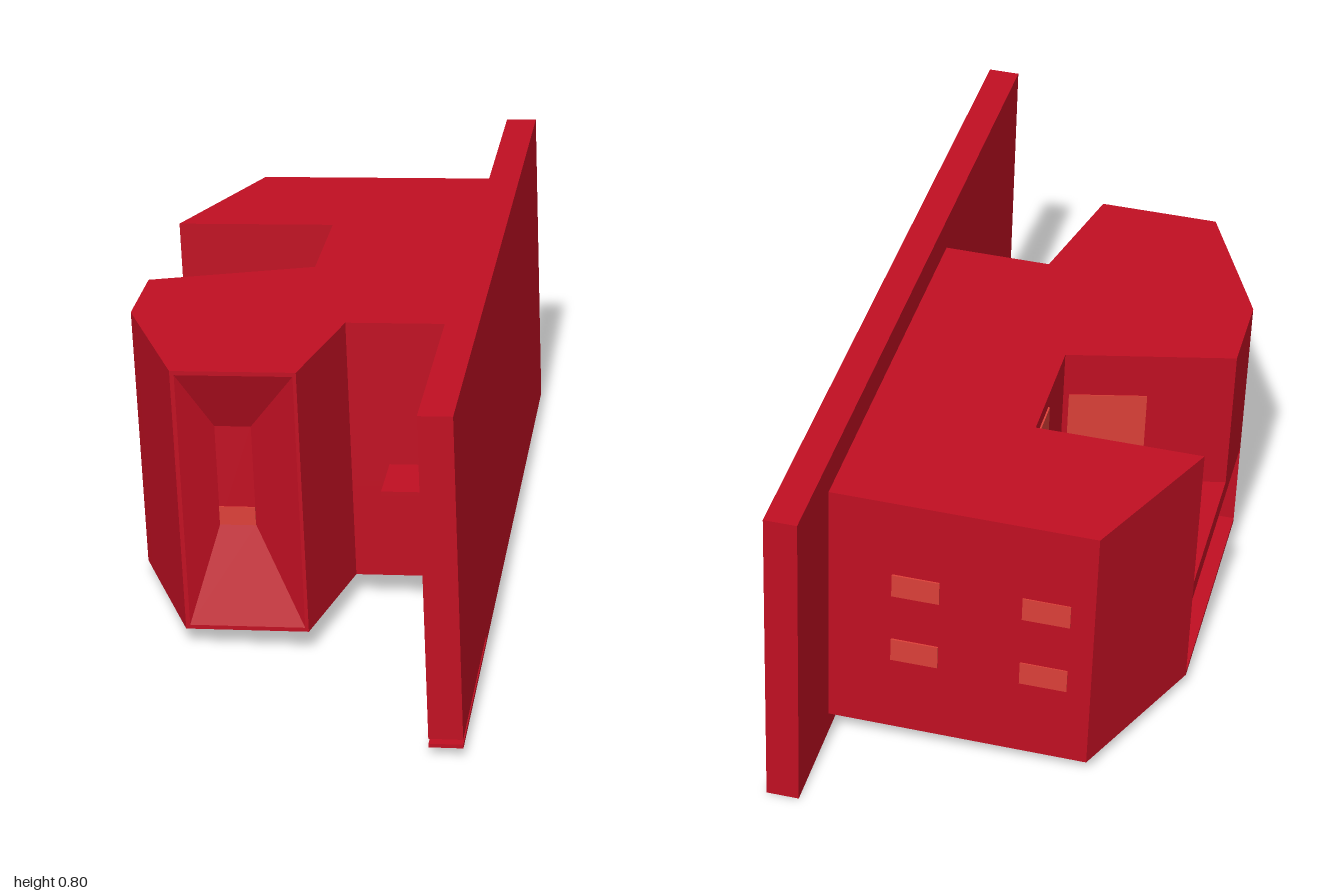
import * as THREE from 'three';

const red = new THREE.MeshStandardMaterial({ color: 0xc00f22 });
const paneRed = new THREE.MeshStandardMaterial({ color: 0xdc4038 });

export function createModel() {
  const model = new THREE.Group();
  const building = new THREE.Group();
  building.name = 'building';
  model.add(building);

  const add = (name, geometry, material = red) => {
    const mesh = new THREE.Mesh(geometry, material);
    mesh.name = name;
    building.add(mesh);
    return mesh;
  };

  // Box given by its lower and upper limits on each axis
  const box = (name, x0, x1, y0, y1, z0, z1, material) => {
    const mesh = add(name, new THREE.BoxGeometry(x1 - x0, y1 - y0, z1 - z0), material);
    mesh.position.set((x0 + x1) / 2, (y0 + y1) / 2, (z0 + z1) / 2);
    return mesh;
  };

  // Floor plan of (x, z) corners raised from y0 to y1
  const storey = (name, plan, y0, y1) => {
    const shape = new THREE.Shape(plan.map(([x, z]) => new THREE.Vector2(x, -z)));
    const geometry = new THREE.ExtrudeGeometry(shape, { depth: y1 - y0, bevelEnabled: false });
    geometry.rotateX(-Math.PI / 2).translate(0, y0, 0);
    add(name, geometry);
  };

  // Long side wall with a thin slit near its front foot
  box('sideWall', 0.342, 0.418, -0.384, 0.376, -1, 1);
  box('wallFoot', 0.342, 0.418, -0.405, -0.396, -1, 1);
  box('wallFootJoint', 0.342, 0.418, -0.396, -0.384, -1, 0.5);

  // Main body, stacked in storeys; the notch and the low recess open to the side
  const low = -0.35, high = 0.293, terrace = -0.07, wingZ = 0.265;
  const back = [[0.344, -0.762], [-0.27, -0.765], [-0.43, -0.4]];
  const front = [[-0.43, 0.215], [-0.408, wingZ], [0.344, wingZ]];
  const notch = [[-0.04, -0.4], [-0.04, -0.1], [-0.43, 0]];
  const recess = [[-0.3, -0.4], [-0.3, 0.215]];
  storey('baseFloor', [...back, ...front], low, -0.34);
  storey('lowerStorey', [...back, ...recess, ...front], -0.34, -0.12);
  storey('terraceSlab', [...back, ...front], -0.12, terrace);
  storey('upperStorey', [...back, ...notch, ...front], terrace, high);

  // Tapering front wing with a funnel window: loops run forward, then inward
  const loop = (x0, x1, y0, y1, z) => [[x0, y0, z], [x1, y0, z], [x1, y1, z], [x0, y1, z]];
  const loops = [
    loop(-0.408, 0.085, low, high, wingZ),
    loop(-0.27, 0.017, low, high, 0.573),
    loop(-0.26, 0.009, -0.34, 0.283, 0.573),
    loop(-0.188, -0.104, -0.112, 0.133, 0.508),
  ];
  const index = [];
  for (let j = 0; j < 3; j++) {
    for (let i = 0; i < 4; i++) {
      const a = j * 4 + i, b = j * 4 + (i + 1) % 4;
      index.push(a, b, b + 4, a, b + 4, a + 4);
    }
  }
  index.push(12, 13, 14, 12, 14, 15);
  let wing = new THREE.BufferGeometry();
  wing.setAttribute('position', new THREE.Float32BufferAttribute(loops.flat(2), 3));
  wing.setIndex(index);
  wing = wing.toNonIndexed();
  wing.computeVertexNormals();
  add('frontWing', wing);
  box('funnelWindow', -0.188, -0.104, -0.112, -0.067, 0.506, 0.511, paneRed);

  // Small balcony in the front corner
  box('balconySlab', 0.175, 0.342, -0.073, -0.062, wingZ, 0.42);
  box('balconyPost', 0.3, 0.342, -0.062, 0.018, 0.28, 0.37);

  // Four windows on the back face
  for (const x of [-0.16, 0.14]) {
    for (const y of [-0.12, 0.065]) {
      box('backWindow', x - 0.055, x + 0.055, y - 0.03, y + 0.03, -0.767, -0.76, paneRed);
    }
  }

  // Openings around the terrace: skylight, side window and door
  box('skylight', -0.212, -0.105, terrace - 0.003, terrace + 0.002, -0.33, -0.17, paneRed);
  box('terraceWindow', -0.045, -0.038, 0.1, 0.26, -0.37, -0.27, paneRed)
    .position.x = -0.0405;
  const door = box('terraceDoor', -0.235, -0.05, terrace, 0.18, -0.079, -0.075, paneRed);
  door.rotation.y = Math.atan2(0.1, 0.39);
  door.position.z = -0.1 + (0.1425 - 0.04) * 0.1 / 0.39;

  // Panes in the underside
  const floorPanes = [
    [-0.18, 0.04], [-0.11, -0.35], [-0.2, -0.44], [-0.19, -0.6],
    [0.11, -0.35], [0.1, -0.52], [0.11, -0.61], [0.23, 0.05],
  ];
  for (const [x, z] of floorPanes) {
    box('floorPane', x - 0.04, x + 0.04, low - 0.002, low + 0.003, z - 0.035, z + 0.035, paneRed);
  }

  // Slight lean of the whole building, then centre it on the ground
  building.rotation.set(-0.01, -0.006, 0.045);
  building.updateMatrixWorld(true);
  const bounds = new THREE.Box3().setFromObject(building, true);
  const centre = bounds.getCenter(new THREE.Vector3());
  building.position.set(-centre.x, -bounds.min.y, -centre.z);
  return model;
}
